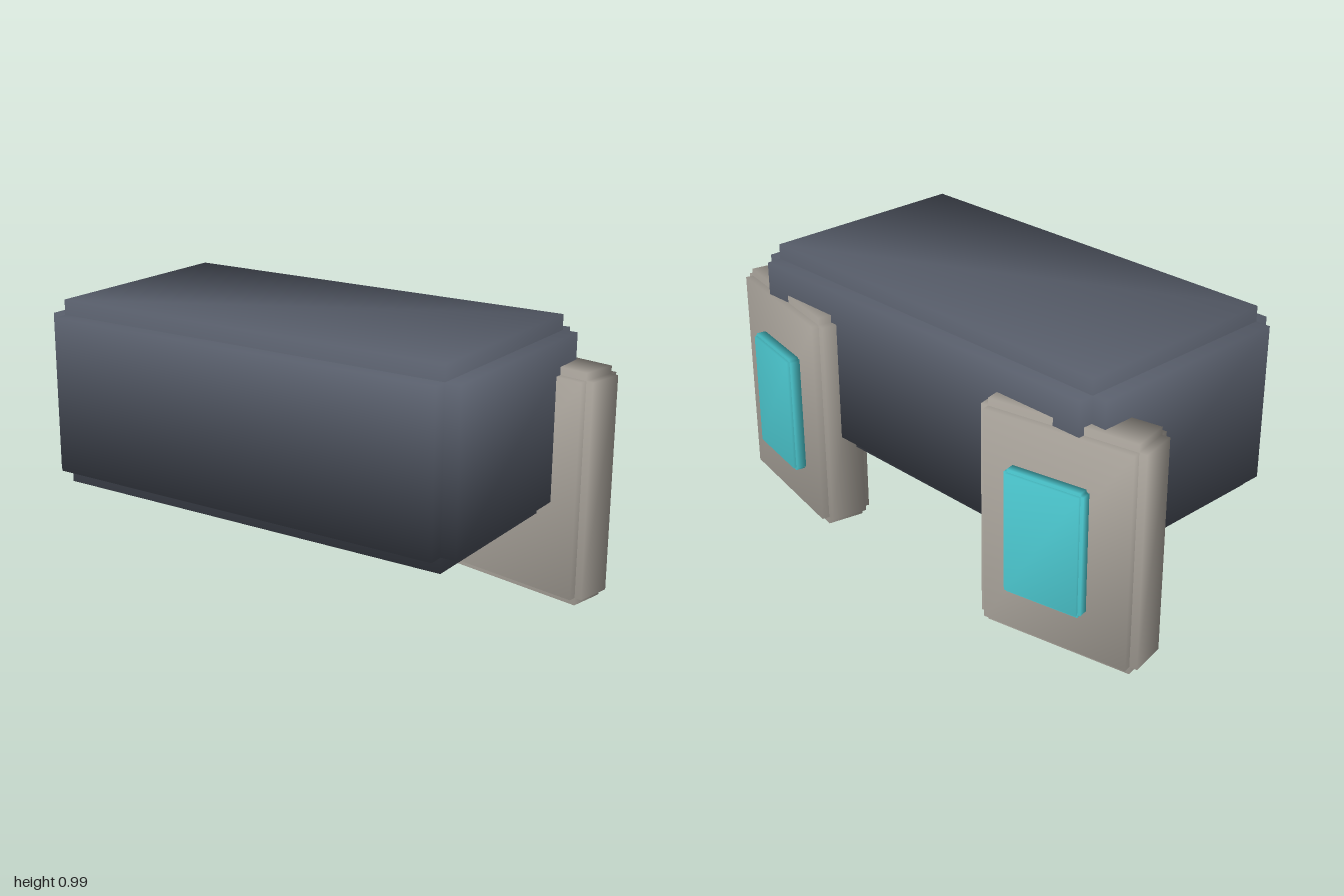
import * as THREE from 'three';
import { mergeVertices, mergeGeometries } from 'three/addons/utils/BufferGeometryUtils.js';

const mat = (name, color) => {
  const m = new THREE.MeshStandardMaterial({ color });
  m.name = name;
  return m;
};

// Box with shared corners, so its shading flows smoothly round the edges
function softBox(w, h, d) {
  const g = new THREE.BoxGeometry(w, h, d);
  g.deleteAttribute('normal');
  g.deleteAttribute('uv');
  const merged = mergeVertices(g);
  merged.clearGroups();
  merged.computeVertexNormals();
  return merged;
}

// Block with stepped edges: three crossed boxes, each full size along one axis
function steppedBlock(w, h, d, step) {
  const s = step * 2;
  return mergeGeometries([
    softBox(w, h - s, d - s),
    softBox(w - s, h, d - s),
    softBox(w - s, h - s, d),
  ]);
}

export function createModel() {
  const model = new THREE.Group();
  model.name = 'model';
  const slate = mat('slate', 0x585e6b);
  const stone = mat('warm grey', 0xb3ada4);
  const cyan = mat('cyan', 0x4fd0d8);

  // Main body
  const body = new THREE.Mesh(steppedBlock(1.675, 0.684, 0.915, 0.056), slate);
  body.name = 'body';
  body.position.set(0, 0.65, 0.0525);
  model.add(body);

  // Two angled rear pods, each with a glowing panel on its back
  const podShape = steppedBlock(0.607, 0.84, 0.196, 0.028);
  const panelShape = steppedBlock(0.296, 0.456, 0.056, 0.011);
  for (const side of [1, -1]) {
    const group = new THREE.Group();
    group.name = side > 0 ? 'leftPod' : 'rightPod';
    group.position.set(side * 0.688, 0.42, -0.33);
    group.rotation.y = -side * 0.2;

    const shell = new THREE.Mesh(podShape, stone);
    shell.name = 'podShell';
    const panel = new THREE.Mesh(panelShape, cyan);
    panel.name = 'podPanel';
    panel.position.set(-side * 0.021, 0.002, -0.121);
    group.add(shell, panel);
    model.add(group);
  }
  return model;
}
